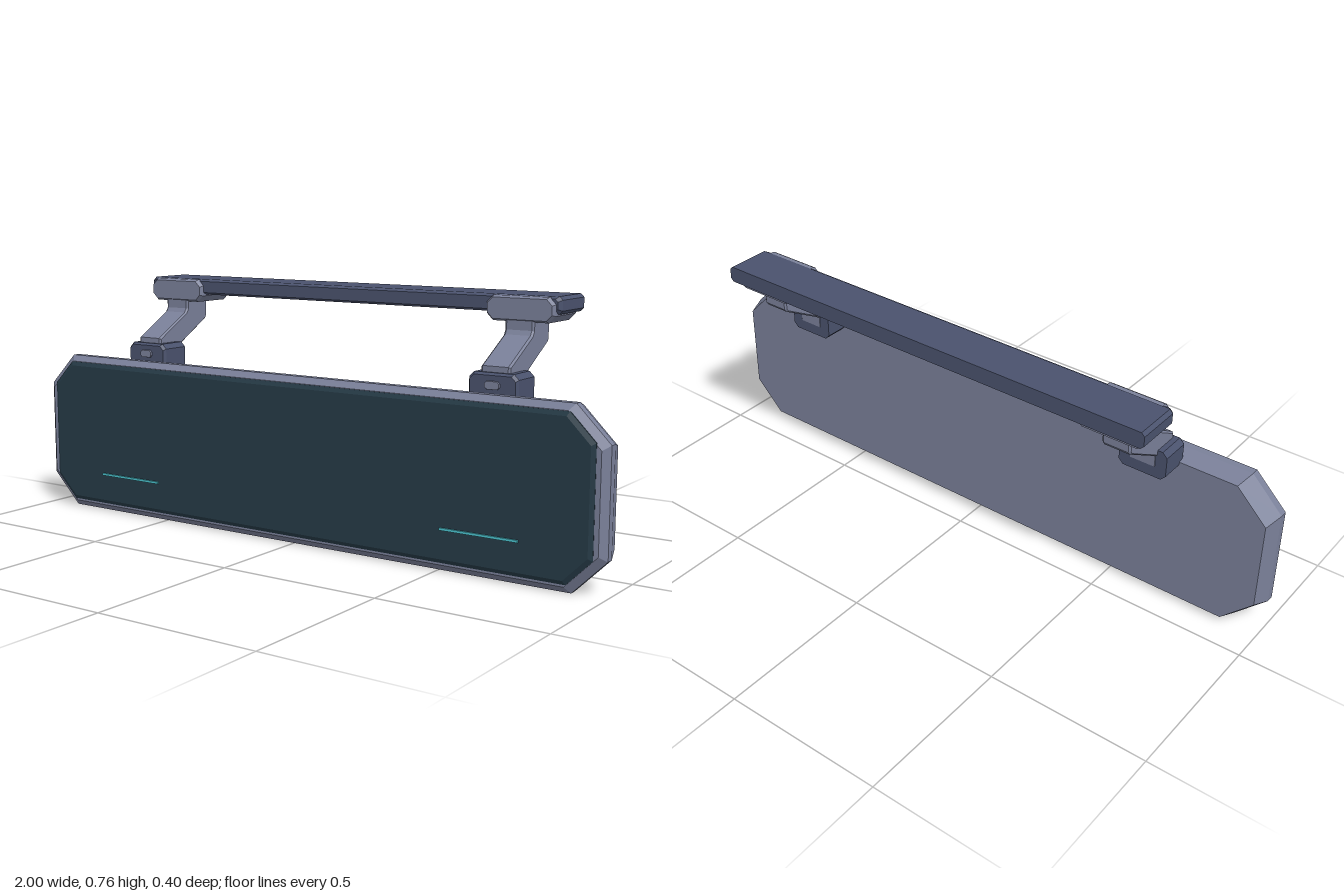
import * as THREE from 'three';

const material = (name, color) => {
  const m = new THREE.MeshStandardMaterial({ color });
  m.name = name;
  return m;
};

// Solid through chamfered rectangles stacked back to front: [half width, half height, chamfer, z]
function loft(sections) {
  const pos = [], index = [];
  for (const [w, h, c, z] of sections) {
    const ring = [[w, -h + c], [w, h - c], [w - c, h], [-w + c, h],
      [-w, h - c], [-w, -h + c], [-w + c, -h], [w - c, -h]];
    for (const [x, y] of ring) pos.push(x, y, z);
  }
  const last = (sections.length - 1) * 8;
  for (let s = 0; s < last; s += 8) {
    for (let i = 0; i < 8; i++) {
      const j = (i + 1) % 8;
      index.push(s + i, s + j, s + 8 + j, s + i, s + 8 + j, s + 8 + i);
    }
  }
  for (let i = 1; i < 7; i++) {
    index.push(0, i + 1, i, last, last + i, last + i + 1);
  }
  const g = new THREE.BufferGeometry();
  g.setAttribute('position', new THREE.Float32BufferAttribute(pos, 3));
  g.setIndex(index);
  const flat = g.toNonIndexed();
  flat.computeVertexNormals();
  return flat;
}

export function createModel() {
  const model = new THREE.Group();
  model.name = 'hangingSign';
  const lightMetal = material('lightMetal', 0x7a8099);
  const darkMetal = material('darkMetal', 0x4a526d);
  const glass = material('darkGlass', 0x253a46);
  const cyan = material('cyanLight', 0x4cc4cf);

  const add = (parent, name, geometry, mat, x = 0, y = 0, z = 0) => {
    const mesh = new THREE.Mesh(geometry, mat);
    mesh.name = name;
    mesh.position.set(x, y, z);
    parent.add(mesh);
    return mesh;
  };

  // Housing tapers to the back and has a small bevel at the front
  add(model, 'housing', loft([
    [0.983, 0.236, 0.098, 0.09], [1, 0.2525, 0.1, 0.147],
    [1, 0.2525, 0.1, 0.17], [0.98, 0.234, 0.095, 0.187],
  ]), lightMetal, 0, 0.2535);

  // Raised screen
  add(model, 'screen', loft([
    [0.966, 0.23, 0.075, 0.18], [0.966, 0.23, 0.075, 0.188],
    [0.954, 0.218, 0.07, 0.195],
  ]), glass, 0, 0.256);

  // Ceiling rail with a bevelled front edge
  add(model, 'topRail', loft([
    [0.746, 0.025, 0.01, -0.199], [0.746, 0.025, 0.01, -0.06],
    [0.737, 0.018, 0.008, -0.047],
  ]), darkMetal, 0, 0.732);

  // Cranked arm outline, drawn in (z, y)
  const armShape = new THREE.Shape([
    [-0.135, 0.7], [-0.135, 0.63], [-0.128, 0.62], [0.015, 0.536], [0.015, 0.5],
    [0.1, 0.5], [0.1, 0.573], [-0.028, 0.647], [-0.036, 0.66], [-0.036, 0.7],
  ].map(([z, y]) => new THREE.Vector2(z, y)));
  const armGeometry = new THREE.ExtrudeGeometry(armShape, {
    depth: 0.078, bevelEnabled: true, bevelSize: 0.005, bevelOffset: -0.005,
    bevelThickness: 0.006, bevelSegments: 1,
  });
  armGeometry.translate(0, 0, -0.039).rotateY(-Math.PI / 2);
  // Mirror z so the outline's first axis runs along +z
  armGeometry.computeBoundingBox();
  if (armGeometry.boundingBox.max.z > 0.12) armGeometry.rotateY(Math.PI);

  for (const side of [-1, 1]) {
    const bracket = new THREE.Group();
    bracket.name = side > 0 ? 'leftBracket' : 'rightBracket';
    bracket.position.x = side * 0.627;
    model.add(bracket);

    add(bracket, 'mountingPad', loft([
      [0.106, 0.036, 0.02, -0.174], [0.106, 0.036, 0.02, -0.043],
      [0.1, 0.03, 0.017, -0.033],
    ]), lightMetal, 0, 0.719);
    add(bracket, 'arm', armGeometry, lightMetal);
    add(bracket, 'clamp', loft([
      [0.076, 0.0455, 0.015, 0.016], [0.076, 0.0455, 0.015, 0.107],
      [0.07, 0.039, 0.013, 0.116],
    ]), darkMetal, 0, 0.511);
    add(bracket, 'clampBolt', loft([
      [0.024, 0.013, 0.007, 0.11], [0.022, 0.011, 0.006, 0.121],
    ]), lightMetal, 0, 0.523);

    // Thin light strip on the screen
    add(model, 'lightStrip', new THREE.BoxGeometry(0.24, 0.007, 0.006), cyan,
      side * 0.635, 0.125, 0.197);
  }
  return model;
}
